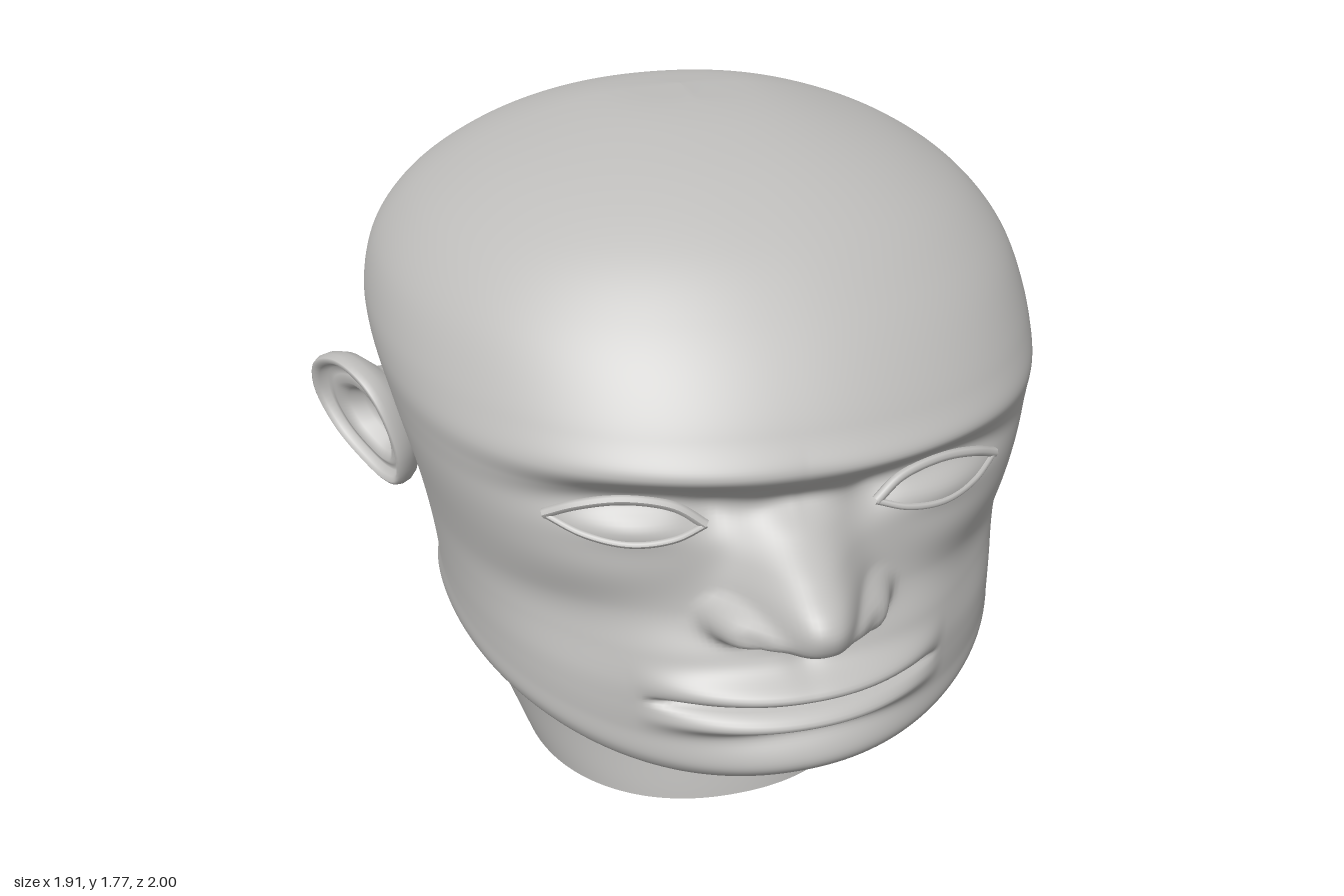
import * as THREE from 'three';

const clay = new THREE.MeshStandardMaterial({ color: 0xbdbcba });
clay.name = 'clay grey';

const profile = points => new THREE.CatmullRomCurve3(points.map(([v, y]) => new THREE.Vector3(v, y, 0)));

// Turns a profile of [value, y], listed downwards, into a function of y
function byHeight(points) {
  const curve = profile(points);
  return y => {
    let lo = 0, hi = 1;
    for (let i = 0; i < 22; i++) {
      const mid = (lo + hi) / 2;
      if (curve.getPoint(mid).y > y) lo = mid; else hi = mid;
    }
    return curve.getPoint(lo).x;
  };
}

// Front midline without the nose and lips, crown to neck
const FRONT = [[-0.19, 1.775], [-0.05, 1.772], [0.12, 1.75], [0.32, 1.695], [0.5, 1.605], [0.63, 1.5],
  [0.72, 1.405], [0.785, 1.315], [0.818, 1.245], [0.8, 1.19], [0.78, 1.13], [0.77, 1.03], [0.79, 0.91],
  [0.845, 0.81], [0.865, 0.74], [0.868, 0.67], [0.866, 0.6], [0.862, 0.52], [0.81, 0.465], [0.6, 0.435],
  [0.42, 0.42], [0.345, 0.37], [0.315, 0.21], [0.35, 0]];
const backAt = byHeight([[-0.21, 1.775], [-0.4, 1.753], [-0.62, 1.685], [-0.78, 1.585], [-0.895, 1.47],
  [-0.965, 1.365], [-0.997, 1.25], [-0.97, 1.14], [-0.857, 0.97], [-0.745, 0.81], [-0.695, 0.64],
  [-0.708, 0.5], [-0.75, 0.37], [-0.72, 0.2], [-0.65, 0]]);
const halfWidthAt = byHeight([[0, 1.775], [0.2, 1.763], [0.4, 1.71], [0.56, 1.643], [0.69, 1.555],
  [0.77, 1.455], [0.803, 1.35], [0.805, 1.27], [0.778, 1.14], [0.738, 0.97], [0.71, 0.81], [0.697, 0.68],
  [0.697, 0.57], [0.65, 0.4], [0.565, 0.21], [0.487, 0]]);
// Depth of the widest point
const widestAt = byHeight([[-0.2, 1.775], [-0.15, 1.3], [-0.1, 1.1], [-0.04, 0.9], [0.02, 0.72],
  [0.03, 0.64], [-0.03, 0.59], [-0.17, 0.49], [-0.22, 0.35], [-0.2, 0.2], [-0.16, 0]]);
// Sections tilt up from the chin to the jaw corners
const jawLift = byHeight([[1.775, 1.775], [1, 1], [0.85, 0.85], [0.73, 0.7], [0.67, 0.6], [0.635, 0.52],
  [0.605, 0.465], [0.575, 0.435], [0.52, 0.42], [0.41, 0.36], [0.21, 0.21], [0, 0]]);
const noseAt = byHeight([[0, 1.2], [0.005, 1.14], [0.05, 1.09], [0.145, 1.03], [0.213, 0.98], [0.225, 0.95],
  [0.205, 0.91], [0.165, 0.885], [0.07, 0.865], [0.015, 0.845], [0, 0.82]]);

// Forward relief of the face: nose, eyes, cheeks, lips and chin
function relief(x, y) {
  const ax = Math.abs(x);
  const bump = (cx, cy, sx, sy, e = 1) =>
    Math.exp(-Math.pow(((ax - cx) / sx) ** 2 + ((y - cy) / sy) ** 2, e));
  const noseWidth = THREE.MathUtils.lerp(0.13, 0.09, THREE.MathUtils.clamp((y - 0.92) / 0.2, 0, 1));
  const ridge = noseAt(y) * Math.exp(-Math.pow(ax / noseWidth, 2.4));
  const wings = 0.095 * bump(0.135, 0.905, 0.07, 0.05, 2);
  const nostrils = -0.05 * bump(0.09, 0.867, 0.035, 0.015);
  const eyes = -0.07 * bump(0.32, 1.15, 0.2, 0.06) - 0.025 * bump(0.17, 1.13, 0.06, 0.05)
    - 0.03 * bump(0, 1.15, 0.1, 0.04) + 0.04 * bump(0.35, 1.115, 0.13, 0.045);
  const brow = 0.014 * bump(0.2, 1.24, 0.3, 0.035);
  const cheeks = 0.015 * bump(0.4, 1, 0.16, 0.08) - 0.03 * bump(0.5, 0.83, 0.14, 0.1);
  const mouth = Math.max(0, 1 - (ax / 0.36) ** 2);
  const crease = Math.max(0, 1 - (ax / 0.345) ** 4);
  const line = (cy, s) => Math.exp(-(((y - cy) / s) ** 2));
  const lips = mouth * (0.058 * line(0.743, 0.032) + 0.045 * line(0.66, 0.028)) - 0.04 * crease * line(0.703, 0.011);
  const chin = 0.02 * bump(0, 0.535, 0.25, 0.045) - 0.015 * bump(0, 0.61, 0.2, 0.025);
  const philtrum = -0.01 * bump(0, 0.81, 0.035, 0.04);
  return Math.hypot(ridge, wings) + nostrils + eyes + brow + cheeks + lips + chin + philtrum;
}

// Closed rings of points joined into a smooth skin
function skin(rings) {
  const n = rings[0].length, index = [];
  for (let i = 0; i < rings.length - 1; i++) {
    for (let j = 0; j < n; j++) {
      const a = i * n + j, b = i * n + (j + 1) % n;
      index.push(a, a + n, b, b, a + n, b + n);
    }
  }
  const geo = new THREE.BufferGeometry().setFromPoints(rings.flat());
  geo.setIndex(index);
  geo.computeVertexNormals();
  return geo;
}

function mirrored(geo) {
  const g = geo.clone().scale(-1, 1, 1), id = g.index.array;
  for (let i = 0; i < id.length; i += 3) [id[i], id[i + 1]] = [id[i + 1], id[i]];
  g.computeVertexNormals();
  return g;
}

// Rounded sections, densest at the face
function headRings() {
  const front = profile(FRONT), rows = (FRONT.length - 1) * 11, half = 110, rings = [];
  for (let i = 0; i <= rows; i++) {
    const { x: frontZ, y: frontY } = front.getPoint(i / rows);
    const sideY = jawLift(frontY), width = halfWidthAt(sideY), sideZ = widestAt(sideY), backZ = backAt(sideY);
    const roundness = 2.15 + 0.4 * Math.exp(-(((frontY - 1.07) / 0.19) ** 2));
    const ring = [];
    for (let j = -half; j < half; j++) {
      const angle = Math.PI * Math.sign(j) * Math.pow(Math.abs(j) / half, 1.4);
      const sn = Math.sin(angle), c = Math.cos(angle), k = Math.abs(c);
      const p = 2 / (c > 0 ? roundness : 2.1);
      const x = width * Math.sign(sn) * Math.pow(Math.abs(sn), p);
      const y = c > 0 ? sideY + (frontY - sideY) * k * k : sideY;
      let z = sideZ + ((c > 0 ? frontZ : backZ) - sideZ) * Math.pow(k, p);
      if (c > 0) z += relief(x, y);
      ring.push(new THREE.Vector3(x, y, z));
    }
    rings.push(ring);
  }
  return rings;
}

// Dished ear: scaled outlines from the bowl over the rim and round the back to the head
function earGeometry() {
  const outline = new THREE.CatmullRomCurve3([[0, -0.06], [0.03, -0.145], [0.09, -0.155], [0.18, -0.12],
    [0.28, -0.05], [0.335, 0.045], [0.31, 0.125], [0.2, 0.165], [0.09, 0.13], [0.03, 0.06]]
    .map(([u, v]) => new THREE.Vector3(u, v, 0)), true).getPoints(64).slice(0, 64);
  // Scale of the outline, height of the dish, centre along the ear
  const steps = [[0.01, -0.05, 0.1], [0.25, -0.05, 0.1], [0.4, -0.04, 0.1], [0.5, -0.01, 0.1],
    [0.6, 0.006, 0.11], [0.7, -0.002, 0.12], [0.8, -0.005, 0.13], [0.86, 0.012, 0.13], [0.92, 0.022, 0.13],
    [0.97, 0.018, 0.13], [1, 0.002, 0.13], [0.99, -0.02, 0.13], [0.93, -0.042, 0.13], [0.8, -0.06, 0.11],
    [0.65, -0.08, 0.07], [0.58, -0.15, 0.05]];
  const rings = steps.map(([k, d, centre]) => outline.map(p =>
    new THREE.Vector3(centre + (p.x - centre) * k, p.y * k, d)));
  return skin(rings).rotateY(1.024).rotateZ(-0.1).translate(0.765, 1.015, 0.005);
}

export function createModel() {
  const model = new THREE.Group();
  model.name = 'headBust';
  const add = (name, geo) => {
    const mesh = new THREE.Mesh(geo, clay);
    mesh.name = name;
    model.add(mesh);
  };
  const addPair = (name, geo) => {
    add(name + 'Left', geo);
    add(name + 'Right', mirrored(geo));
  };

  // Head and neck
  const rings = headRings();
  add('headAndNeck', skin(rings));

  // Flat underside of the neck
  const base = new THREE.Shape(rings[rings.length - 1].map(p => new THREE.Vector2(p.x, p.z)));
  add('neckBase', new THREE.ShapeGeometry(base).rotateX(Math.PI / 2));

  addPair('ear', earGeometry());

  // Eyelids follow the face surface
  const face = rings.flat().filter(p => p.z > 0.4 && p.x > 0.1 && p.x < 0.6 && p.y > 1 && p.y < 1.25);
  const faceZ = (x, y) => {
    let sum = 0, total = 0;
    for (const p of face) {
      const w = Math.exp(-((p.x - x) ** 2 + (p.y - y) ** 2) / 0.0002);
      sum += w * p.z;
      total += w;
    }
    return sum / total;
  };
  const lid = (points, radius) => new THREE.TubeGeometry(new THREE.CatmullRomCurve3(
    points.map(([x, y]) => new THREE.Vector3(x, y, faceZ(x, y)))), 32, radius, 8);
  addPair('upperLid', lid([[0.19, 1.1], [0.25, 1.14], [0.35, 1.158], [0.45, 1.143], [0.515, 1.115]], 0.012));
  addPair('lowerLid', lid([[0.19, 1.1], [0.26, 1.082], [0.35, 1.074], [0.44, 1.087], [0.515, 1.115]], 0.008));
  return model;
}
